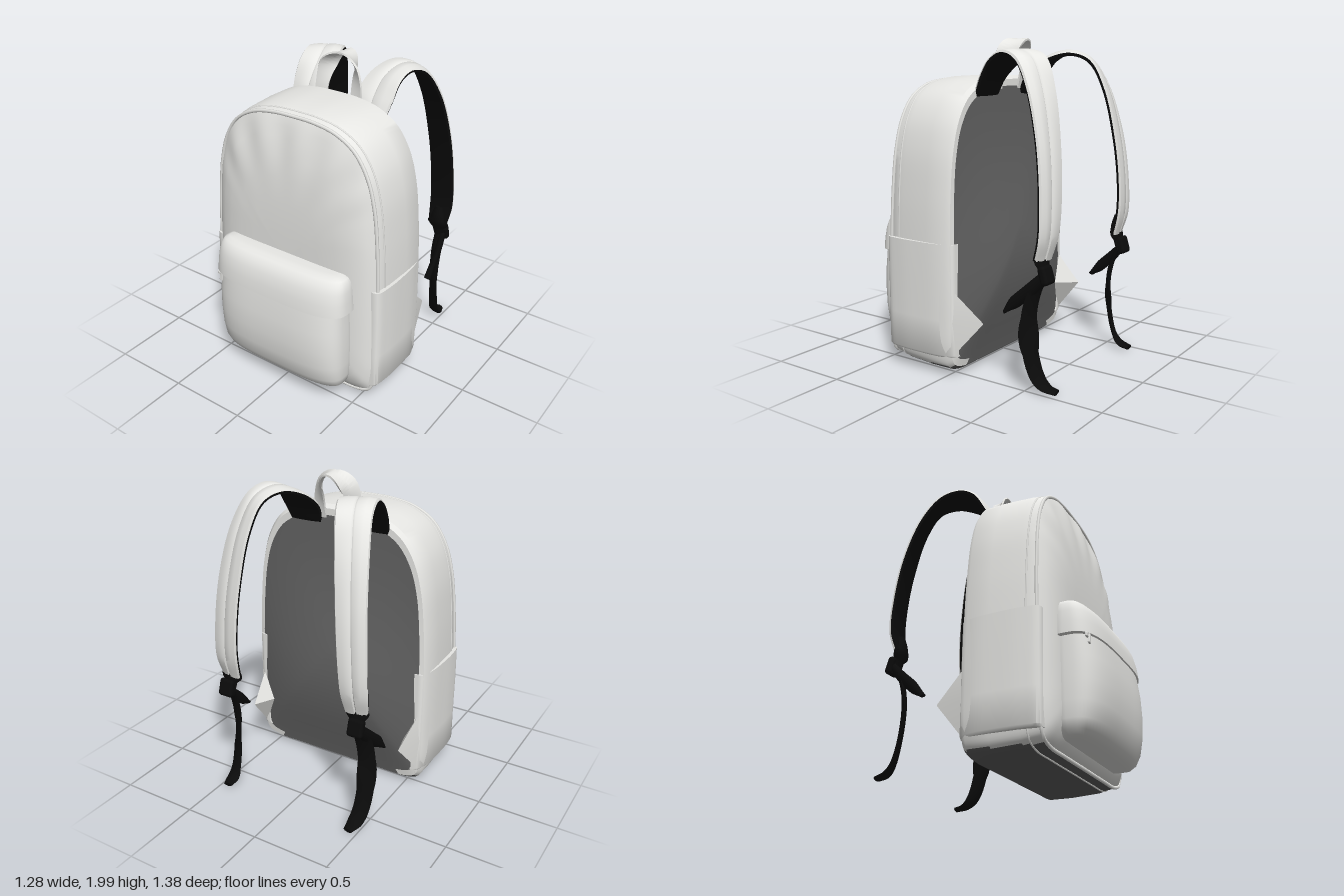
import * as THREE from 'three';
import { toCreasedNormals } from 'three/addons/utils/BufferGeometryUtils.js';
import { RoundedBoxGeometry } from 'three/addons/geometries/RoundedBoxGeometry.js';

const V = (x, y, z) => new THREE.Vector3(x, y, z);
const mat = (name, color) => Object.assign(new THREE.MeshStandardMaterial({ color }), { name });
const clamp = THREE.MathUtils.clamp;

// Closed skin over rings of points; pick(i, j, y) chooses a material index per face
function loft(rings, pick = () => 0, crease = 0.7) {
  const n = rings[0].length, last = rings.length - 1;
  const pts = rings.flat(), faces = [];
  for (let i = 0; i < last; i++) for (let j = 0; j < n; j++) {
    const a = i * n + j, b = i * n + (j + 1) % n, c = b + n, d = a + n;
    const m = pick(i, j, (pts[a].y + pts[c].y) / 2);
    faces.push([m, a, b, c], [m, a, c, d]);
  }
  for (const i of [0, last]) {
    const centre = rings[i].reduce((s, p) => s.add(p), V(0, 0, 0)).divideScalar(n);
    pts.push(centre);
    for (let j = 0; j < n; j++) {
      const a = i * n + j, b = i * n + (j + 1) % n;
      const m = pick(i, j, centre.y);
      faces.push(i ? [m, a, b, pts.length - 1] : [m, b, a, pts.length - 1]);
    }
  }
  // Turn the skin outward if it came out inside out
  let volume = 0;
  for (const [, a, b, c] of faces) volume += pts[a].dot(V(0, 0, 0).crossVectors(pts[b], pts[c]));
  const geo = new THREE.BufferGeometry().setFromPoints(pts);
  const index = [];
  for (let m = 0; m < 3; m++) {
    const start = index.length;
    for (const [k, a, b, c] of faces) if (k === m) index.push(...(volume < 0 ? [a, c, b] : [a, b, c]));
    if (index.length > start) geo.addGroup(start, index.length - start, m);
  }
  geo.setIndex(index);
  return toCreasedNormals(geo, crease);
}

// Flat band along a path; each half vector gives width direction and half width
function bandRings(path, halves, section, thick, steps, side = 1) {
  const curve = new THREE.CatmullRomCurve3(path);
  const spread = new THREE.CatmullRomCurve3(halves);
  const rings = [];
  for (let i = 0; i <= steps; i++) {
    const t = i / steps, p = curve.getPoint(t), tan = curve.getTangent(t), w = spread.getPoint(t);
    const len = w.length();
    w.addScaledVector(tan, -w.dot(tan)).setLength(len);
    const up = V(0, 0, 0).crossVectors(w, tan).setLength(thick);
    rings.push(section.map(([u, v]) => {
      const q = p.clone().addScaledVector(w, u).addScaledVector(up, v);
      q.x *= side;
      return q;
    }));
  }
  return rings;
}
const padded = [[-1, 0], [-0.93, 0.7], [-0.55, 1.1], [-0.1, 1.1], [0, 0.7], [0.1, 1.1], [0.55, 1.1], [0.93, 0.7],
  [1, 0], [0.95, -0.8], [0.4, -1], [-0.4, -1], [-0.95, -0.8]];
const flat = [[-1, -1], [-1, 1], [0, 1], [1, 1], [1, -1], [0, -1]];
const oval = [[-1, 0], [-0.7, 0.8], [0, 1.2], [0.7, 0.8], [1, 0], [0.7, -0.8], [0, -1.2], [-0.7, -0.8]];

// Outline of the bag seen from the front
const half = [[0, 0.02], [0.3, 0.02], [0.5, 0.025], [0.585, 0.06], [0.615, 0.15], [0.625, 0.4], [0.62, 0.8], [0.605, 1.1],
  [0.575, 1.35], [0.52, 1.53], [0.43, 1.66], [0.3, 1.735], [0.15, 1.765], [0, 1.77]];
const loop = [...half, ...half.slice(1, -1).reverse().map(([x, y]) => [-x, y])].map(([x, y]) => V(x, y, 0));
const outline = new THREE.CatmullRomCurve3(loop, true).getPoints(144).slice(0, -1);
const outlineRing = (s, zOf) => outline.map((p) => {
  const x = p.x * s, y = 0.85 + (p.y - 0.85) * s;
  return V(x, y, zOf(x, y));
});
const lean = (y) => 0.03 * (1 - y / 1.77);

export function createModel() {
  const bag = new THREE.Group();
  const light = mat('light grey fabric', 0xeaeae7);
  const dark = mat('dark grey back fabric', 0x626262);
  const black = mat('black webbing', 0x0b0b0b);
  const mats = [light, dark, black];
  const add = (name, geo, material = light) => {
    const mesh = new THREE.Mesh(geo, material);
    mesh.name = name;
    bag.add(mesh);
    return mesh;
  };

  // Main compartment: bulged back, straight wall, domed front
  const rings = [];
  for (const s of [0.03, 0.2, 0.4, 0.6, 0.75, 0.86, 0.93, 0.975]) {
    rings.push(outlineRing(s, (x, y) =>
      -0.045 - 0.11 * Math.exp(-(((y - 0.5) / 0.62) ** 2)) * (1 - s * s) - 0.01 * (1 - s)));
  }
  const backCount = rings.length;
  for (const [s, z] of [[1, -0.02], [1.002, 0.12], [0.992, 0.3], [0.981, 0.345]]) rings.push(outlineRing(s, () => z));
  for (const [s, z] of [[0.968, 0.385], [0.945, 0.4], [0.9, 0.423], [0.83, 0.445], [0.72, 0.465],
    [0.58, 0.479], [0.4, 0.487], [0.2, 0.49], [0.03, 0.49]]) {
    // Gathered creases fan out around the upper curve
    const fold = 0.008 * Math.max(0, 1 - Math.abs(s - 0.83) / 0.22);
    const sag = 0.02 * clamp((z - 0.385) / 0.05, 0, 1);
    rings.push(outlineRing(s, (x, y) => z + lean(y) * clamp((s - 0.3) * 2, 0, 1) - sag * clamp((y - 1.1) / 0.5, 0, 1)
      + fold * Math.sin(Math.atan2(x, y - 0.85) * 19) * clamp((y - 1.2) * 4, 0, 1)));
  }
  // The wall wraps a little way round the back; the underside matches the back
  add('mainBody', loft(rings, (i, j, y) => (i < backCount - 2 || (y < 0.06 && i < backCount + 4) ? 1 : 0)), mats);

  // Piping and zip seam
  const trim = (name, s, zOf, r) => add(name,
    new THREE.TubeGeometry(new THREE.CatmullRomCurve3(outlineRing(s, zOf), true), 160, r, 6, true));
  trim('frontPiping', 0.968, (x, y) => 0.387 + lean(y), 0.011);
  trim('zipSeam', 0.981, () => 0.34, 0.006);

  // Front pocket and its overhanging flap, as stacked rounded sections
  const pocketRing = ([y, w, zf]) => Array.from({ length: 56 }, (_, k) => {
    const a = k / 56 * Math.PI * 2, c = Math.cos(a), s = Math.sin(a);
    const e = (v) => Math.sign(v) * Math.abs(v) ** 0.6;
    return V(w * e(c), y, 0.5 + (s > 0 ? zf - 0.5 : 0.09) * e(s));
  });
  add('frontPocket', loft([[0.11, 0.38, 0.55], [0.12, 0.42, 0.595], [0.145, 0.445, 0.63], [0.2, 0.46, 0.66], [0.3, 0.465, 0.682],
    [0.42, 0.467, 0.69], [0.55, 0.464, 0.686], [0.7, 0.458, 0.665]].map(pocketRing)));
  add('pocketFlap', loft([[0.676, 0.478, 0.668], [0.68, 0.485, 0.676], [0.75, 0.481, 0.668], [0.82, 0.474, 0.65],
    [0.865, 0.464, 0.627], [0.89, 0.448, 0.6], [0.902, 0.42, 0.57], [0.905, 0.36, 0.54]].map(pocketRing)));
  const pull = add('zipPull', new RoundedBoxGeometry(0.025, 0.06, 0.012, 2, 0.005));
  pull.position.set(-0.41, 0.65, 0.63);
  pull.rotation.z = -0.2;
  const slider = add('zipSlider', new RoundedBoxGeometry(0.055, 0.025, 0.014, 2, 0.005));
  slider.position.set(-0.415, 0.668, 0.622);

  // Carry handle: a band that twists as it arches over
  add('carryHandle', loft(bandRings(
    [V(-0.125, 1.69, -0.045), V(-0.122, 1.8, -0.06), V(-0.09, 1.92, -0.09), V(0, 1.985, -0.12),
      V(0.09, 1.92, -0.09), V(0.122, 1.8, -0.06), V(0.125, 1.69, -0.045)],
    [V(0.04, 0, 0), V(0.04, 0, -0.012), V(0.035, 0, -0.045), V(0, 0, -0.062),
      V(-0.035, 0, -0.045), V(-0.04, 0, -0.012), V(-0.04, 0, 0)], flat, 0.006, 36)));

  for (const side of [1, -1]) {
    const name = side > 0 ? 'left' : 'right';

    // Side pocket wrapping the lower wall and its back corner
    const wrap = new THREE.CatmullRomCurve3([V(0.55, 0, -0.068), V(0.595, 0, -0.06), V(0.625, 0, 0.02), V(0.636, 0, 0.18),
      V(0.632, 0, 0.33), V(0.612, 0, 0.42), V(0.55, 0, 0.43)]).getPoints(24);
    add(name + 'SidePocket', loft([[0.125, -0.012], [0.14, 0], [0.35, 0], [0.6, 0.002], [0.81, 0]].map(([y, grow]) =>
      wrap.map((p) => V(side * (p.x + grow), y, p.z)))));

    // Pointed corner tab carrying the side pocket on past the back
    const tip = V(side * 0.545, 0.36, -0.245);
    const base = [V(side * 0.585, 0.53, -0.055), V(side * 0.6, 0.34, -0.05),
      V(side * 0.585, 0.14, -0.055), V(side * 0.495, 0.34, -0.075)];
    add(name + 'CornerTab', loft([base, base.map((p) => p.clone().lerp(tip, 0.98))], () => 0, 0.3));

    // Padded shoulder strap, light outside and black against the wearer
    add(name + 'ShoulderStrap', loft(bandRings(
      [V(0.23, 1.66, -0.035), V(0.232, 1.76, -0.085), V(0.245, 1.86, -0.18), V(0.28, 1.905, -0.3), V(0.325, 1.865, -0.42),
        V(0.37, 1.7, -0.515), V(0.41, 1.4, -0.59), V(0.435, 1.1, -0.62), V(0.445, 0.9, -0.615), V(0.445, 0.77, -0.58)],
      [V(0.11, 0, 0), V(0.125, 0, 0), V(0.12, 0, 0.03), V(0.1, 0, 0.05), V(0.09, 0, 0.05),
        V(0.09, 0, 0.035), V(0.09, 0, 0.02), V(0.088, 0, 0.015), V(0.085, 0, 0.01), V(0.07, 0, 0.01)],
      padded, 0.018, 60, side), (i, j) => (j > 7 ? 2 : 0)), mats);

    // Buckle and webbing
    const buckle = add(name + 'Buckle', new RoundedBoxGeometry(0.1, 0.11, 0.05, 3, 0.02), black);
    buckle.position.set(side * 0.46, 0.69, -0.615);
    buckle.rotation.x = 0.3;
    const web = (part, path, halves, thick = 0.013) =>
      add(name + part, loft(bandRings(path, halves, oval, thick, 28, side), () => 0, 1.2), black);
    web('BuckleLoop', [V(0.445, 0.88, -0.585), V(0.445, 0.8, -0.57), V(0.45, 0.73, -0.588), V(0.455, 0.64, -0.61)],
      [V(0.03, 0, 0), V(0.05, 0, 0), V(0.05, 0, 0), V(0.04, 0, 0)], 0.02);
    web('WebbingTail', [V(0.455, 0.7, -0.61), V(0.468, 0.57, -0.54), V(0.475, 0.42, -0.51), V(0.475, 0.22, -0.525),
      V(0.465, 0.08, -0.57), V(0.455, 0.03, -0.62), V(0.448, 0.015, -0.685)],
    [V(0.04, 0, 0.01), V(0.045, 0, 0.02), V(0.045, 0, 0.025), V(0.045, 0, 0.025),
      V(0.045, 0, 0.02), V(0.045, 0, 0.01), V(0.03, 0, 0)]);
    web('WebbingEnd', [V(0.475, 0.68, -0.605), V(0.49, 0.6, -0.53), V(0.5, 0.52, -0.44), V(0.505, 0.45, -0.365)],
      [V(0.015, 0.02, 0.018), V(0.015, 0.027, 0.023), V(0.012, 0.027, 0.023), V(0.005, 0.007, 0.006)], 0.018);
  }
  return bag;
}
